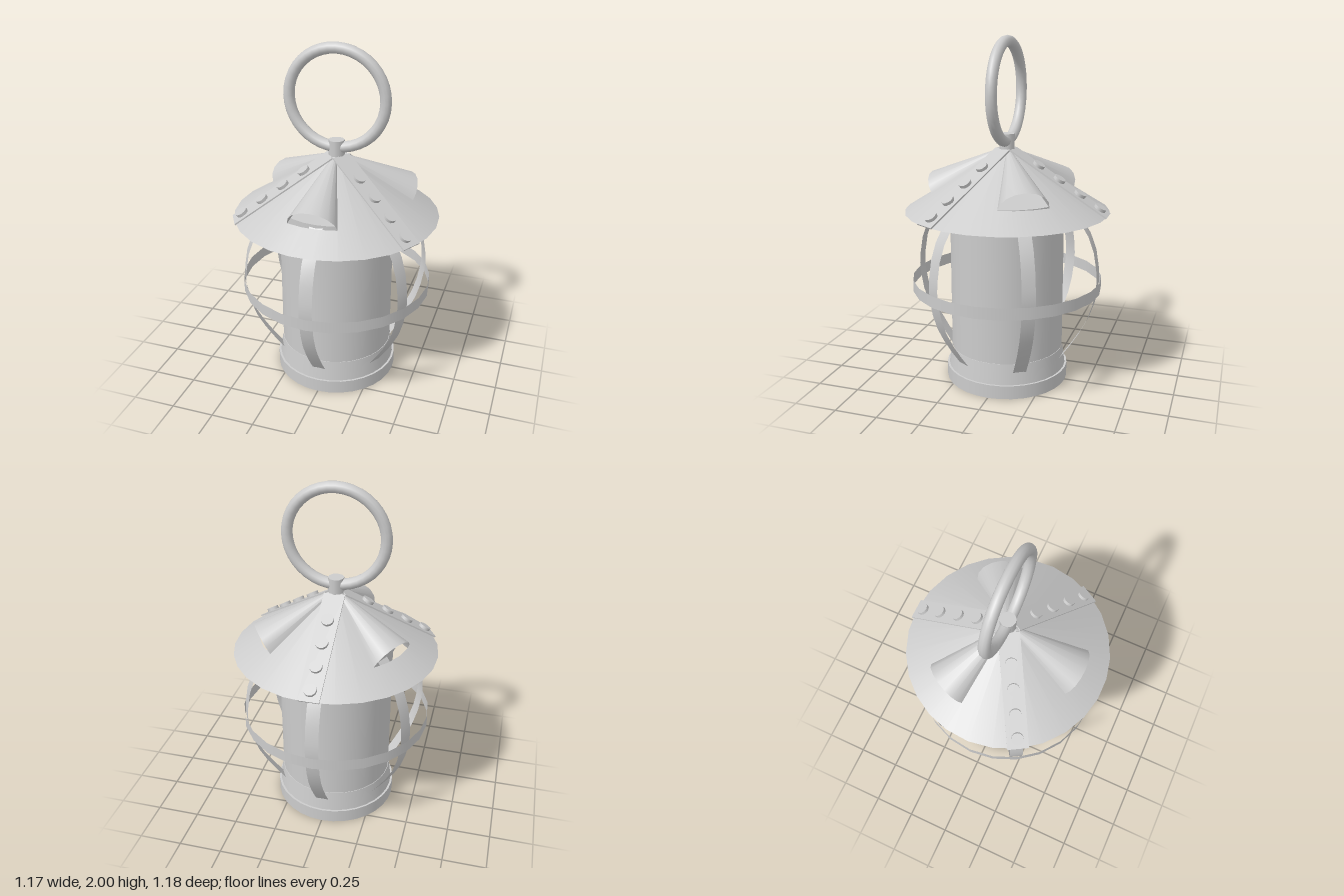
import * as THREE from 'three';

const APEX = 1.39, RIM_Y = 1.02, RIM_R = 0.588;
const SLOPE = Math.atan2(APEX - RIM_Y, RIM_R);
const roofY = r => APEX - r * Math.tan(SLOPE);
const TURN = Math.PI * 2 / 3;

const solid = new THREE.MeshStandardMaterial({ color: 0xcccccc });
const thin = new THREE.MeshStandardMaterial({ color: 0xcccccc, side: THREE.DoubleSide });

function add(parent, name, geometry, material = solid) {
  const mesh = new THREE.Mesh(geometry, material);
  mesh.name = name;
  parent.add(mesh);
  return mesh;
}

// Part of the roof cone between two radii and over an angle
function roofPatch(r0, r1, start, length, segments) {
  const h = roofY(r0) - roofY(r1);
  return new THREE.CylinderGeometry(r0, r1, h, segments, 1, true, start, length)
    .translate(0, (roofY(r0) + roofY(r1)) / 2, 0);
}

// Sheet bent from a plane: place(u, v) gives the position, u and v from 0 to 1
function sheet(nu, nv, place) {
  const g = new THREE.PlaneGeometry(1, 1, nu, nv);
  const p = g.attributes.position;
  for (let i = 0; i < p.count; i++) {
    p.setXYZ(i, ...place(p.getX(i) + 0.5, p.getY(i) + 0.5));
  }
  g.computeVertexNormals();
  return g;
}

function lathe(points, segments) {
  return new THREE.LatheGeometry(points.map(p => new THREE.Vector2(...p)), segments);
}

function createRoof() {
  const roof = new THREE.Group();
  roof.name = 'roof';
  const half = 0.33, mouthR = 0.435;
  for (let i = 0; i < 3; i++) {
    const az = i * TURN;
    add(roof, 'roofPanel', roofPatch(0.01, RIM_R, az + half, TURN - 2 * half, 6), thin);
    add(roof, 'roofEave', roofPatch(mouthR, RIM_R, az - half, 2 * half, 3), thin);

    // Raised vent hood, open at the outer end
    const w = mouthR * Math.sin(half), z = mouthR * Math.cos(half);
    const hood = add(roof, 'ventHood', sheet(8, 1, (u, v) => {
      const a = (u - 0.5) * Math.PI, s = 1 - v * 0.98;
      const x = w * Math.sin(a), rise = Math.cos(a);
      const y = roofY(mouthR) + 0.1 * rise;
      return [x * s, APEX + (y - APEX) * s, (z + 0.052 * rise) * s];
    }), thin);
    hood.rotation.y = az;

    // Riveted strap running down between the vents
    const turn = new THREE.Group();
    turn.name = 'rivetedStrap';
    turn.position.y = APEX;
    turn.rotation.y = az + Math.PI / 3;
    const tilt = new THREE.Group();
    tilt.name = 'strapSlope';
    tilt.rotation.x = SLOPE;
    turn.add(tilt);
    const length = RIM_R / Math.cos(SLOPE);
    add(tilt, 'strap', new THREE.BoxGeometry(0.12, 0.008, length - 0.04)
      .translate(0, 0.004, length / 2 + 0.02));
    for (const r of [0.18, 0.3, 0.42, 0.535]) {
      add(tilt, 'rivet', new THREE.CylinderGeometry(0.035, 0.035, 0.022, 12)
        .translate(0, 0.015, r / Math.cos(SLOPE)));
    }
    roof.add(turn);
  }
  return roof;
}

function createCage() {
  const cage = new THREE.Group();
  cage.name = 'cage';
  // Bowed flat bars
  const curve = new THREE.CatmullRomCurve3([
    [0.335, 0.15], [0.43, 0.29], [0.505, 0.44], [0.54, 0.6], [0.54, 0.7],
    [0.505, 0.87], [0.42, 1.01], [0.345, 1.09],
  ].map(([r, y]) => new THREE.Vector3(0, y, r)));
  const bar = sheet(1, 12, (u, v) => {
    const p = curve.getPoint(v);
    return [(u - 0.5) * 0.076, p.y, p.z];
  });
  for (let i = 0; i < 6; i++) {
    add(cage, 'cageBar', bar, thin).rotation.y = i * Math.PI / 3;
  }
  add(cage, 'cageHoop', new THREE.CylinderGeometry(0.553, 0.553, 0.068, 24, 1, true)
    .translate(0, 0.59, 0), thin);
  return cage;
}

export function createModel() {
  const model = new THREE.Group();
  model.name = 'lantern';

  // Base, flared collar and glass cylinder
  add(model, 'base', new THREE.CylinderGeometry(0.36, 0.36, 0.08, 32).translate(0, 0.04, 0));
  add(model, 'collar', lathe([[0.348, 0.08], [0.332, 0.2]], 32));
  add(model, 'glass', new THREE.CylinderGeometry(0.329, 0.329, 0.88, 32).translate(0, 0.64, 0));
  add(model, 'topPlate', new THREE.CylinderGeometry(0.355, 0.355, 0.02, 32).translate(0, 1.09, 0));

  model.add(createCage(), createRoof());

  // Finial and carrying ring
  add(model, 'finial', new THREE.CylinderGeometry(0.045, 0.045, 0.1, 10).translate(0, 1.41, 0));
  add(model, 'carryRing', new THREE.TorusGeometry(0.275, 0.032, 12, 40).translate(0, 1.693, 0));
  return model;
}
